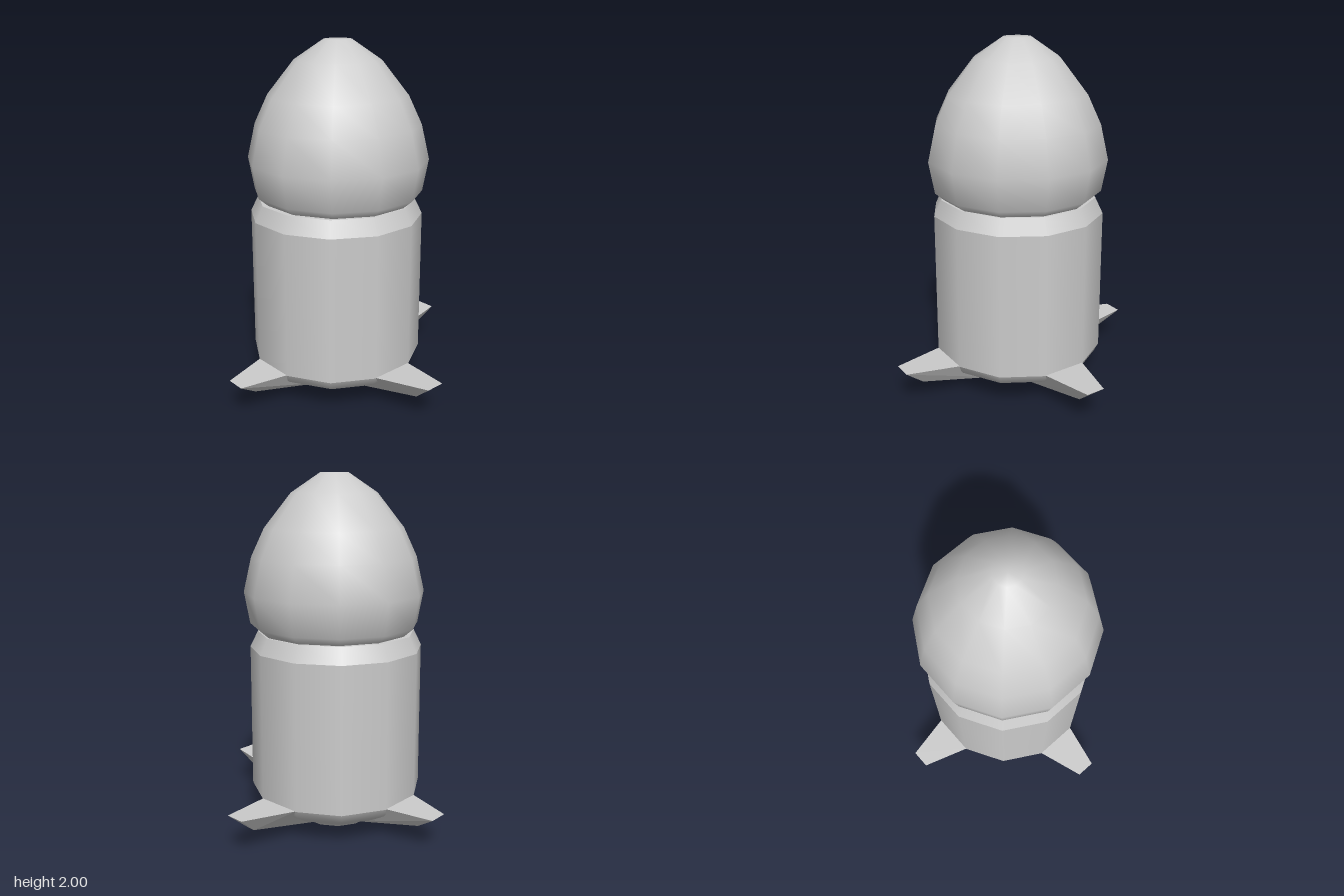
import * as THREE from 'three';
import { ConvexGeometry } from 'three/addons/geometries/ConvexGeometry.js';

const SIDES = 12;

export function createModel() {
  const model = new THREE.Group();
  const material = new THREE.MeshStandardMaterial({ color: 0xcccccc });
  const flatMaterial = new THREE.MeshStandardMaterial({ color: 0xcccccc, flatShading: true });

  // Turned part; profile is [radius, y] from bottom to top
  const turned = (name, profile, x) => {
    const points = profile.map(([r, y]) => new THREE.Vector2(r, y));
    const mesh = new THREE.Mesh(new THREE.LatheGeometry(points, SIDES), material);
    mesh.name = name;
    mesh.position.x = x;
    model.add(mesh);
  };

  // Egg-shaped nose sitting on the body
  turned('nose', [
    [0.425, 1.12], [0.478, 1.165], [0.51, 1.345], [0.465, 1.54],
    [0.39, 1.7], [0.24, 1.89], [0.077, 2.0], [0, 2.0],
  ], -0.015);

  // Straight body with a bevelled shoulder and flat rim
  turned('body', [[0.495, 0.2], [0.491, 1.03]], -0.026);
  turned('shoulder', [[0.491, 1.03], [0.447, 1.12]], -0.026);
  turned('bodyRim', [[0.447, 1.12], [0, 1.12]], -0.026);

  // Shallow bowl under the body, ending in a small flat foot
  turned('bowl', [[0.205, 0], [0.23, 0.03], [0.37, 0.09], [0.47, 0.15], [0.495, 0.2]], -0.026);
  turned('foot', [[0, 0], [0.205, 0]], -0.026);

  // Four diagonal fins: wide flat top tapering down to a narrow keel
  for (const sx of [1, -1]) {
    for (const sz of [1, -1]) {
      const right = sx < 0;
      const tipY = right ? 0.2 : 0.223;
      const rootX = right ? [-0.454, -0.273] : [0.402, 0.221];
      const points = [
        // top corners at the tip and at the body
        [0.58 * sx, tipY, 0.5 * sz], [0.503 * sx, tipY, 0.578 * sz],
        [rootX[0], 0.203, 0.247 * sz], [rootX[1], 0.203, 0.428 * sz],
        // keel, outer and inner ends
        [0.47 * sx, 0.12, 0.445 * sz], [0.445 * sx, 0.12, 0.47 * sz],
        [0.2 * sx, 0.03, 0.11 * sz], [0.1 * sx, 0.03, 0.2 * sz],
      ].map((p) => new THREE.Vector3(...p));
      const fin = new THREE.Mesh(new ConvexGeometry(points), flatMaterial);
      fin.name = (sz > 0 ? 'front' : 'back') + (right ? 'Right' : 'Left') + 'Fin';
      model.add(fin);
    }
  }
  return model;
}
